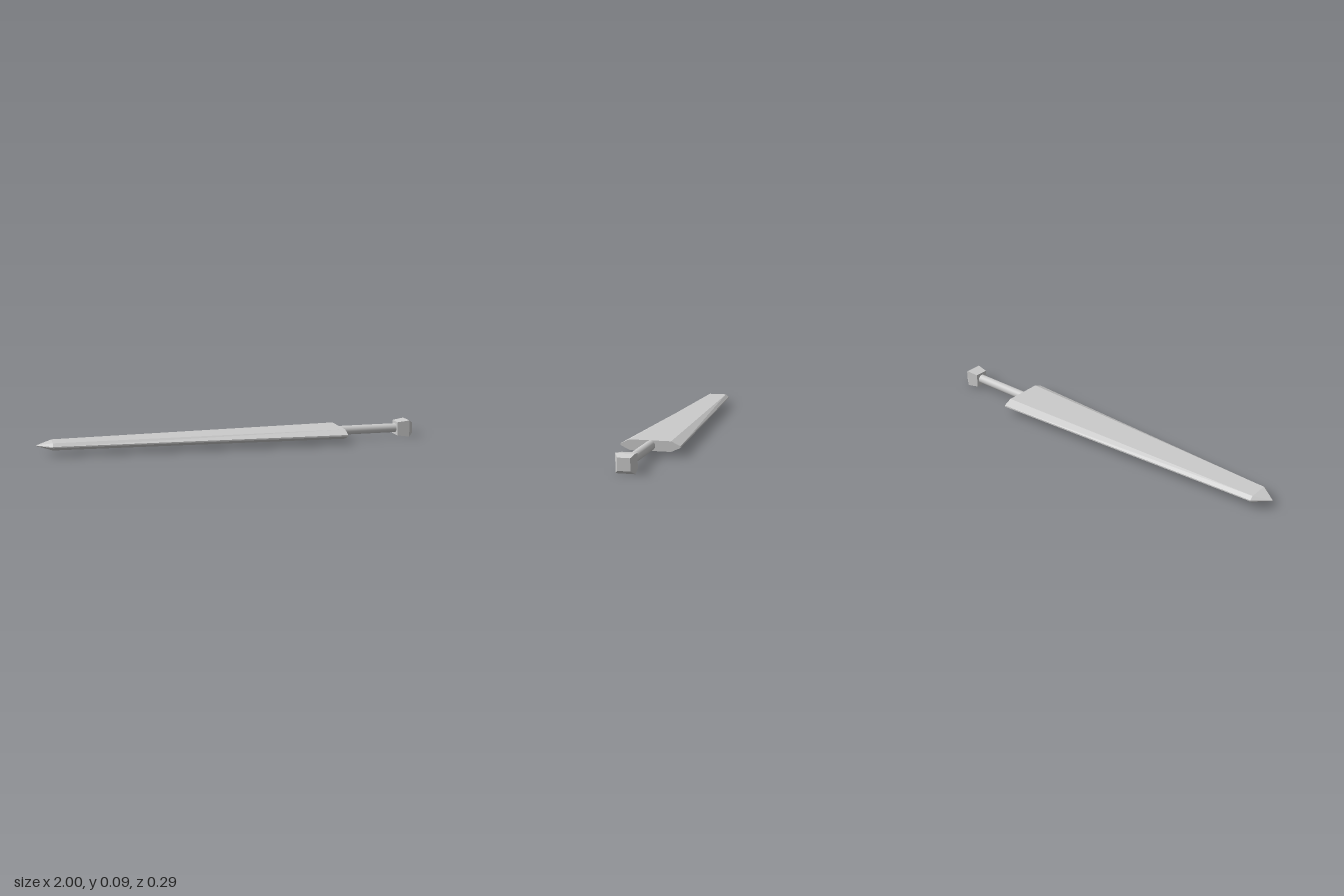
import * as THREE from 'three';

const MID = 0.045; // height of the sword's long axis

const material = () => new THREE.MeshStandardMaterial({ color: 0xcccccc, flatShading: true });

// Joins rings of [y, z] points, placed along x, into a closed faceted solid
function loft(sections) {
  const pos = [];
  const tri = (...pts) => pts.forEach((p) => pos.push(...p));
  const rings = sections.map(({ x, ring }) => ring.map(([y, z]) => [x, y, z]));
  const n = rings[0].length;
  for (let i = 0; i < rings.length - 1; i++) {
    for (let j = 0; j < n; j++) {
      const k = (j + 1) % n;
      tri(rings[i][j], rings[i][k], rings[i + 1][j]);
      tri(rings[i][k], rings[i + 1][k], rings[i + 1][j]);
    }
  }
  const first = rings[0], last = rings[rings.length - 1];
  for (let j = 1; j < n - 1; j++) {
    tri(first[0], first[j + 1], first[j]);
    tri(last[0], last[j], last[j + 1]);
  }
  const geo = new THREE.BufferGeometry();
  geo.setAttribute('position', new THREE.Float32BufferAttribute(pos, 3));
  geo.computeVertexNormals();
  return geo;
}

// Bevelled blade section: flat middle, sloping to a thin edge on each side
const bladeRing = (width, flat, thick, edge) => [
  [-edge, -width], [edge, -width], [thick, -flat], [thick, 0], [thick, flat],
  [edge, width], [-edge, width], [-thick, flat], [-thick, 0], [-thick, -flat],
];

const squareRing = (r) => [[-r, -r], [r, -r], [r, r], [-r, r]];

export function createModel() {
  const group = new THREE.Group();
  const add = (name, geometry, mat = material()) => {
    const mesh = new THREE.Mesh(geometry, mat);
    mesh.name = name;
    mesh.position.y = MID;
    group.add(mesh);
    return mesh;
  };

  // Tapering blade with a short pointed tip
  add('blade', loft([
    { x: -1, ring: bladeRing(0.001, 0.0005, 0.001, 0.0005) },
    { x: -0.92, ring: bladeRing(0.068, 0.05, 0.018, 0.003) },
    { x: 0.59, ring: bladeRing(0.145, 0.1, 0.025, 0.004) },
  ]));

  // Round grip
  const gripMaterial = material();
  gripMaterial.flatShading = false;
  const grip = add('grip', new THREE.CylinderGeometry(0.024, 0.024, 0.35, 32), gripMaterial);
  grip.rotation.z = -Math.PI / 2;
  grip.position.x = 0.755;

  // Square pommel, flaring outward and bevelled at the end
  add('pommel', loft([
    { x: 0.913, ring: squareRing(0.036) },
    { x: 0.978, ring: squareRing(0.0445) },
    { x: 1, ring: squareRing(0.029) },
  ]));

  return group;
}
